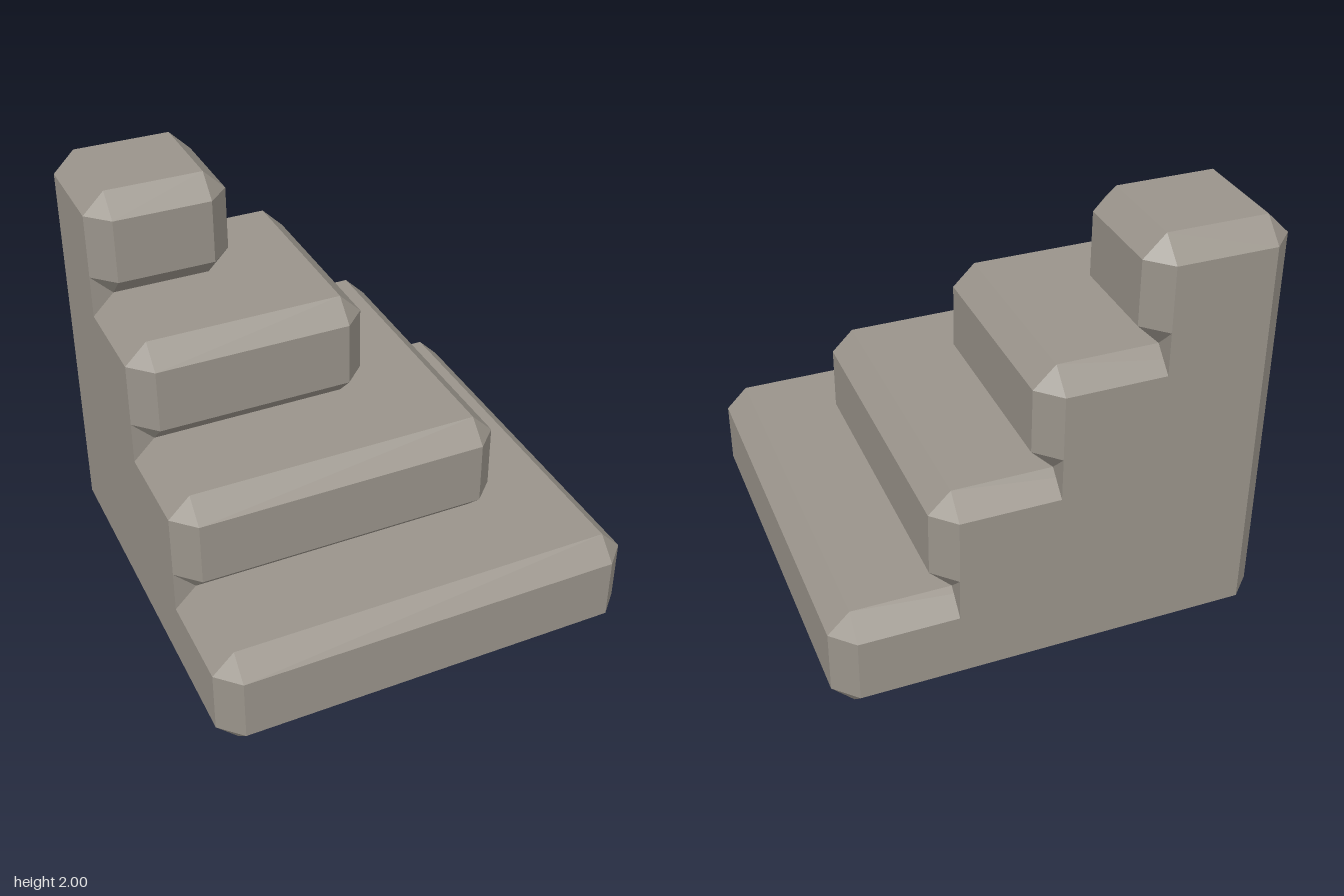
import * as THREE from 'three';
import { ConvexGeometry } from 'three/addons/geometries/ConvexGeometry.js';

const BEVEL = 0.1;
const TIER_HEIGHT = 0.5;
const BACK = -1; // every tier shares the corner at x = z = -1
const FRONTS = [1, 0.55, 0.1, -0.35];

// Square slab from BACK to front with all edges and corners bevelled
function slabGeometry(front, y0, y1) {
  const points = [];
  const ends = [[BACK, 1], [front, -1]];
  for (const [x, sx] of ends) {
    for (const [y, sy] of [[y0, 1], [y1, -1]]) {
      for (const [z, sz] of ends) {
        const ix = x + sx * BEVEL, iy = y + sy * BEVEL, iz = z + sz * BEVEL;
        points.push(
          new THREE.Vector3(x, iy, iz),
          new THREE.Vector3(ix, y, iz),
          new THREE.Vector3(ix, iy, z)
        );
      }
    }
  }
  return new ConvexGeometry(points);
}

// Core that closes the groove between two tiers along the flush back walls
function coreGeometry(front, y0, y1) {
  const inner = BACK + BEVEL;
  const outline = [[inner, BACK], [front, BACK], [front, front], [BACK, front], [BACK, inner]];
  const points = [];
  for (const y of [y0, y1]) {
    for (const [x, z] of outline) points.push(new THREE.Vector3(x, y, z));
  }
  return new ConvexGeometry(points);
}

export function createModel() {
  const model = new THREE.Group();
  model.name = 'cornerStairs';
  const stone = new THREE.MeshStandardMaterial({ color: 0x9a948b });
  stone.name = 'warm grey stone';

  const add = (name, geometry) => {
    const mesh = new THREE.Mesh(geometry, stone);
    mesh.name = name;
    model.add(mesh);
  };

  FRONTS.forEach((front, i) => {
    const y = i * TIER_HEIGHT;
    add(`tier${i + 1}`, slabGeometry(front, y, y + TIER_HEIGHT));
    if (i > 0) add(`wallFill${i}`, coreGeometry(front - BEVEL, y - BEVEL, y + BEVEL));
  });
  return model;
}
